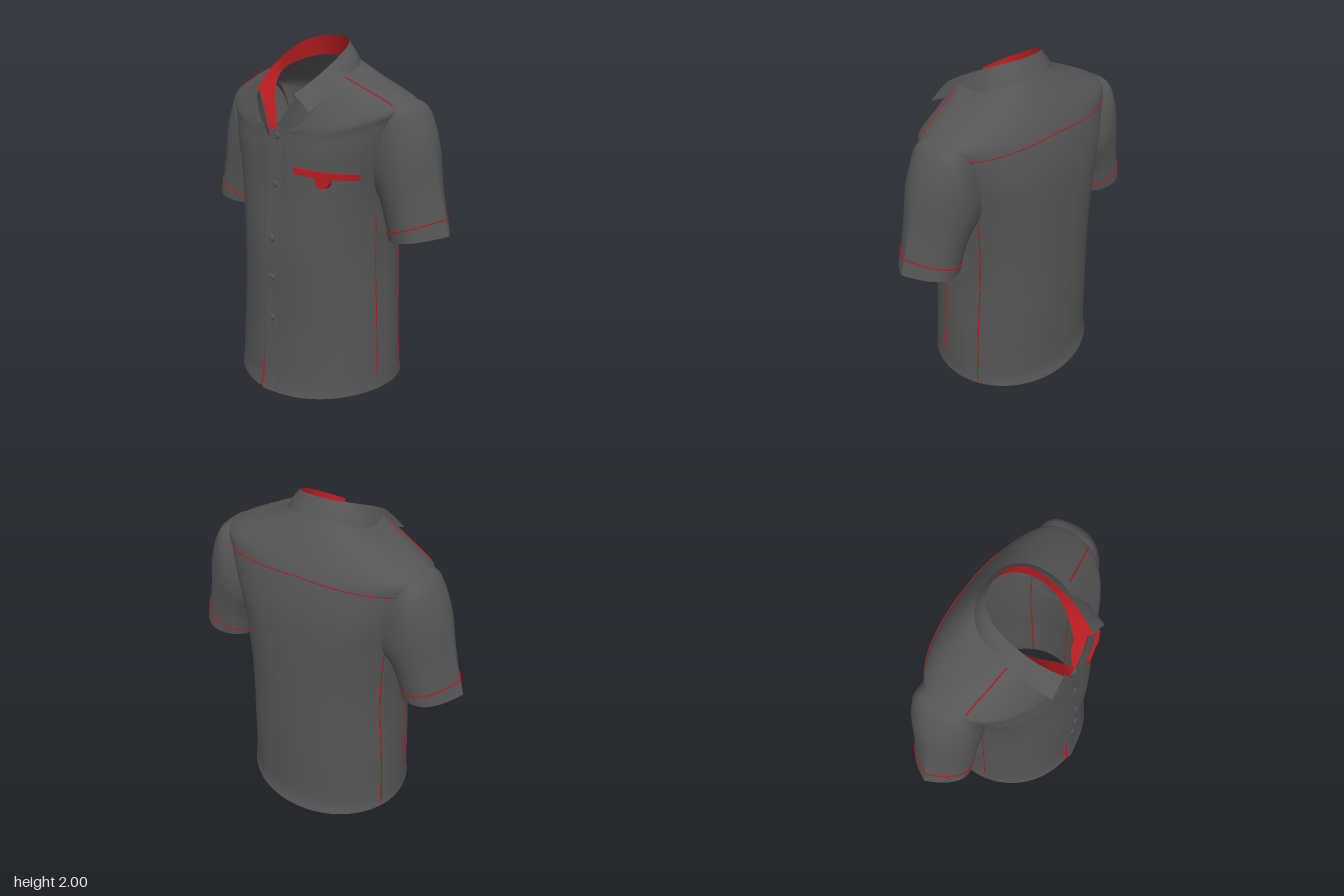
import * as THREE from 'three';

const V = (x, y, z) => new THREE.Vector3(x, y, z);
const mat = (name, color) => {
  const m = new THREE.MeshStandardMaterial({ color, side: THREE.DoubleSide });
  m.name = name;
  return m;
};

// Torso rings from hem to neck: half width, front z, back z, centre z,
// y at front, side and back, roundness (1 is an ellipse, less is boxier)
const RINGS = [
  [0.51, 0.445, -0.452, -0.03, 0.0, 0.035, 0.01, 0.99],
  [0.503, 0.425, -0.432, -0.03, 0.12, 0.13, 0.12, 0.98],
  [0.488, 0.405, -0.43, -0.03, 0.45, 0.45, 0.45, 0.96],
  [0.466, 0.403, -0.42, -0.04, 0.85, 0.85, 0.85, 0.92],
  [0.478, 0.37, -0.41, -0.04, 1.2, 1.2, 1.2, 0.83],
  [0.53, 0.355, -0.395, -0.05, 1.4, 1.44, 1.42, 0.83],
  [0.585, 0.347, -0.36, -0.07, 1.47, 1.61, 1.6, 0.92],
  [0.59, 0.342, -0.32, -0.07, 1.51, 1.69, 1.7, 0.92],
  [0.4, 0.345, -0.255, -0.01, 1.53, 1.785, 1.81, 0.87],
  [0.208, 0.34, -0.183, 0.05, 1.54, 1.845, 1.915, 0.85],
];
const LAST = RINGS.length - 1;

// Point on the torso: a is the angle from the front (towards +x), t the ring number
function torso(a, t) {
  const s = Math.sin(a), c = Math.cos(a), k = Math.abs(c);
  const pts = RINGS.map(([w, zf, zb, zc, yf, ys, yb, pow], i) => {
    const [zEnd, yEnd] = c > 0 ? [zf, yf] : [zb, yb];
    const rise = Math.pow(k, i < LAST ? 2 : c > 0 ? 3 : 1);
    return V(w * Math.sign(s) * Math.pow(Math.abs(s), pow), ys + (yEnd - ys) * rise,
      zc + (zEnd - zc) * Math.pow(k, pow));
  });
  return new THREE.CatmullRomCurve3(pts, false, 'catmullrom').getPoint(t / LAST);
}

// Soft cloth folds on the lower torso
function cloth(a, t) {
  const p = torso(a, t);
  const f = 0.006 * Math.sin(7 * a + 1.5 * t) * Math.sin(Math.PI * Math.min(t / 6, 1)) * Math.sin(a) ** 2;
  p.x *= 1 + f;
  p.z *= 1 + 2 * f;
  return p;
}

// Point on the front of the torso at a given x and y, moved forward by off
function onFront(x, y, off) {
  let lo = 0, hi = LAST, p;
  for (let i = 0; i < 22; i++) {
    const t = (lo + hi) / 2, ring = Math.min(LAST - 1, Math.floor(t));
    const pow = THREE.MathUtils.lerp(RINGS[ring][7], RINGS[ring + 1][7], t - ring);
    const s = Math.min(1, Math.abs(x) / torso(Math.PI / 2, t).x);
    p = cloth(Math.sign(x) * Math.asin(Math.pow(s, 1 / pow)), t);
    if (p.y < y) lo = t; else hi = t;
  }
  return V(x, y, p.z + off);
}

// Surface through f(u, v), with u and v from 0 to 1
function sheet(nu, nv, f) {
  const pos = [], idx = [];
  for (let j = 0; j <= nv; j++) for (let i = 0; i <= nu; i++) pos.push(...f(i / nu, j / nv).toArray());
  for (let j = 0; j < nv; j++) for (let i = 0; i < nu; i++) {
    const a = j * (nu + 1) + i, b = a + nu + 1;
    idx.push(a, a + 1, b, a + 1, b + 1, b);
  }
  const g = new THREE.BufferGeometry();
  g.setAttribute('position', new THREE.Float32BufferAttribute(pos, 3));
  g.setIndex(idx);
  g.computeVertexNormals();
  return g;
}

// Thin plate laid on the front; at(u, v) gives its x, y and height above the cloth
function plate(nu, nv, back, at) {
  const g = new THREE.BoxGeometry(1, 1, 1, nu, nv, 1), p = g.attributes.position;
  for (let i = 0; i < p.count; i++) {
    const [x, y, front] = at(p.getX(i) + 0.5, p.getY(i) + 0.5);
    const q = onFront(x, y, p.getZ(i) > 0 ? front : back);
    p.setXYZ(i, q.x, q.y, q.z);
  }
  g.computeVertexNormals();
  return g;
}

const seam = (f, r = 0.004, n = 48) => new THREE.TubeGeometry(
  new THREE.CatmullRomCurve3(Array.from({ length: n + 1 }, (_, i) => f(i / n))), n, r, 5);

// Strip between two curves
function strip(a, b, n, bulge = 0) {
  const ca = new THREE.CatmullRomCurve3(a), cb = new THREE.CatmullRomCurve3(b);
  return sheet(n, 6, (u, v) => {
    const p = ca.getPoint(u).lerp(cb.getPoint(u), v), k = 1 + bulge * Math.sin(Math.PI * v);
    return V(p.x * k, p.y, p.z);
  });
}
const list = (pts, sx = 1) => pts.map(([x, y, z]) => V(x * sx, y, z));
const both = (half) => [...list(half), ...list(half.slice(0, -1), -1).reverse()];

// Sleeve rings: centre x, y, z, outward half axis x, y, depth half axis,
// roundness of the inner and outer halves (above 1 narrows to a crease)
const SLEEVE = [
  [0.455, 1.44, -0.07, 0.04, 0.27, 0.18, 0.6, 0.55],
  [0.53, 1.42, -0.07, 0.072, 0.268, 0.197, 0.65, 0.55],
  [0.565, 1.375, -0.07, 0.102, 0.245, 0.197, 0.75, 0.75],
  [0.6, 1.28, -0.065, 0.133, 0.2, 0.19, 0.95, 1.05],
  [0.632, 1.15, -0.06, 0.155, 0.11, 0.18, 1.0, 1.5],
  [0.68, 0.975, -0.057, 0.172, 0.035, 0.172, 1.0, 1.9],
];
function sleeve(a, t, side, grow = 1) {
  const c = Math.cos(a) * grow, s = Math.sin(a);
  const pts = SLEEVE.map(([x, y, z, ax, ay, b, inner, outer]) => V(side * (x - ax * c), y - ay * c,
    z + b * grow * Math.sign(s) * Math.pow(Math.abs(s), c > 0 ? inner : outer)));
  return new THREE.CatmullRomCurve3(pts, false, 'catmullrom').getPoint(t / (SLEEVE.length - 1));
}

export function createModel() {
  const model = new THREE.Group();
  model.name = 'shirt';
  const fabric = mat('charcoal fabric', 0x555555);
  const trim = mat('red trim', 0xb51c20);
  const add = (name, geo, m) => {
    const mesh = new THREE.Mesh(geo, m);
    mesh.name = name;
    model.add(mesh);
    return mesh;
  };
  const TAU = Math.PI * 2, rad = Math.PI / 180;

  // Torso
  add('torso', sheet(96, 54, (u, v) => cloth(u * TAU, v * LAST)), fabric);

  // Front closure, raised at its free edge, with its red facing
  add('placket', plate(3, 36, -0.004, (u, v) => [-0.045 + 0.095 * u, 0.004 + 1.53 * v, 0.015 - 0.011 * u]), fabric);
  add('placketUnderlay', plate(1, 10, 0, (u, v) => [-0.04 - 0.034 * (1 - u) * (1 - v * 0.9), 0.006 + 0.35 * v, 0.007]), trim);
  add('innerFacing', plate(2, 24, -0.02, (u, v) => [-0.08 + 0.08 * u, 0.01 + 1.5 * v, -0.013]), trim);
  for (const y of [0.455, 0.7, 0.93, 1.235, 1.5]) {
    const b = add('button', new THREE.CylinderGeometry(0.017, 0.021, 0.01, 20), fabric);
    b.rotation.x = Math.PI / 2;
    b.position.copy(onFront(0, y, 0.013));
  }

  // Chest pocket welt and its rounded tab
  add('pocketWelt', plate(14, 2, -0.004, (u, v) => [0.138 + 0.307 * u, 1.313 - 0.02 * u + 0.034 * v, 0.018]), trim);
  add('pocketTab', plate(8, 6, 0, (u, v) => {
    const drop = 0.028 * (1 - v) * Math.abs(2 * u - 1) ** 3;
    return [0.27 + 0.066 * u, 1.25 + drop + 0.083 * v, 0.028];
  }), trim);

  // Collar: folded leaf outside, red stand inside
  const fold = [[0.135, 1.735, 0.36], [0.175, 1.81, 0.24], [0.19, 1.89, 0.1],
    [0.165, 1.965, -0.05], [0.09, 1.995, -0.125], [0, 2, -0.142]];
  const leaf = [[0.245, 1.655, 0.367], [0.266, 1.73, 0.22], [0.262, 1.795, 0.08],
    [0.226, 1.862, -0.08], [0.125, 1.9, -0.172], [0, 1.905, -0.196]];
  const base = [[0.075, 1.69, 0.285], [0.145, 1.77, 0.19], [0.185, 1.825, 0.08],
    [0.172, 1.865, -0.065], [0.1, 1.885, -0.155], [0, 1.888, -0.178]];
  add('collarLeaf', strip(both(fold), both(leaf), 72, 0.04), fabric);
  add('collarStand', strip(both(fold), both(base), 72), trim);

  // Red facings along the open neck, backed by grey lapels that meet the chest
  add('rightNeckFacing', strip(
    list([[-0.14, 1.735, 0.335], [-0.095, 1.64, 0.346], [-0.045, 1.51, 0.36]]),
    list([[-0.075, 1.69, 0.285], [-0.035, 1.61, 0.315], [0, 1.535, 0.35]]), 16), trim);
  add('leftNeckFacing', strip(
    list([[0.138, 1.735, 0.335], [0.068, 1.635, 0.346], [0, 1.56, 0.355]]),
    list([[0.09, 1.7, 0.28], [0.034, 1.62, 0.3], [-0.012, 1.545, 0.345]]), 16), trim);
  const lapelFoot = [[0.23, 1.68, 0.27], [0.15, 1.575, 0.322], [0.06, 1.48, 0.346]];
  add('rightLapel', strip(list([[-0.142, 1.737, 0.339], [-0.097, 1.641, 0.351], [-0.046, 1.51, 0.362]]),
    list(lapelFoot, -1), 16), fabric);
  add('leftLapel', strip(list([[0.14, 1.737, 0.339], [0.07, 1.636, 0.351], [0.002, 1.56, 0.358]]),
    list(lapelFoot), 16), fabric);

  // Back yoke seam
  add('yokeSeam', seam((u) => {
    const a = (118 + 124 * u) * rad;
    const p = cloth(a, 6.35 - 0.3 * Math.abs(Math.sin(a)));
    p.z -= 0.003;
    return p;
  }, 0.003), trim);

  for (const side of [1, -1]) {
    const word = side > 0 ? 'left' : 'right';
    // Sleeve with a turned cuff
    add(word + 'Sleeve', sheet(48, 40, (u, v) => sleeve(u * TAU, v * 5, side)), fabric);
    add(word + 'Cuff', sheet(48, 6, (u, v) => sleeve(u * TAU, 4.66 + 0.34 * v, side, 1.02)), fabric);
    add(word + 'CuffSeam', seam((u) => sleeve(u * TAU, 4.65, side, 1.01)), trim);
    // Shoulder and side seams
    add(word + 'ShoulderSeam', seam((u) => cloth(side * (73 + 3 * u) * rad, 7.1 + 1.5 * u)), trim);
    add(word + 'BackSideSeam', seam((u) => cloth(side * 113 * rad, 0.02 + 4 * u)), trim);
    add(word + 'FrontSideSeam', seam((u) => cloth(side * 79 * rad, 1 + 2.6 * u), 0.003), trim);
  }
  return model;
}
